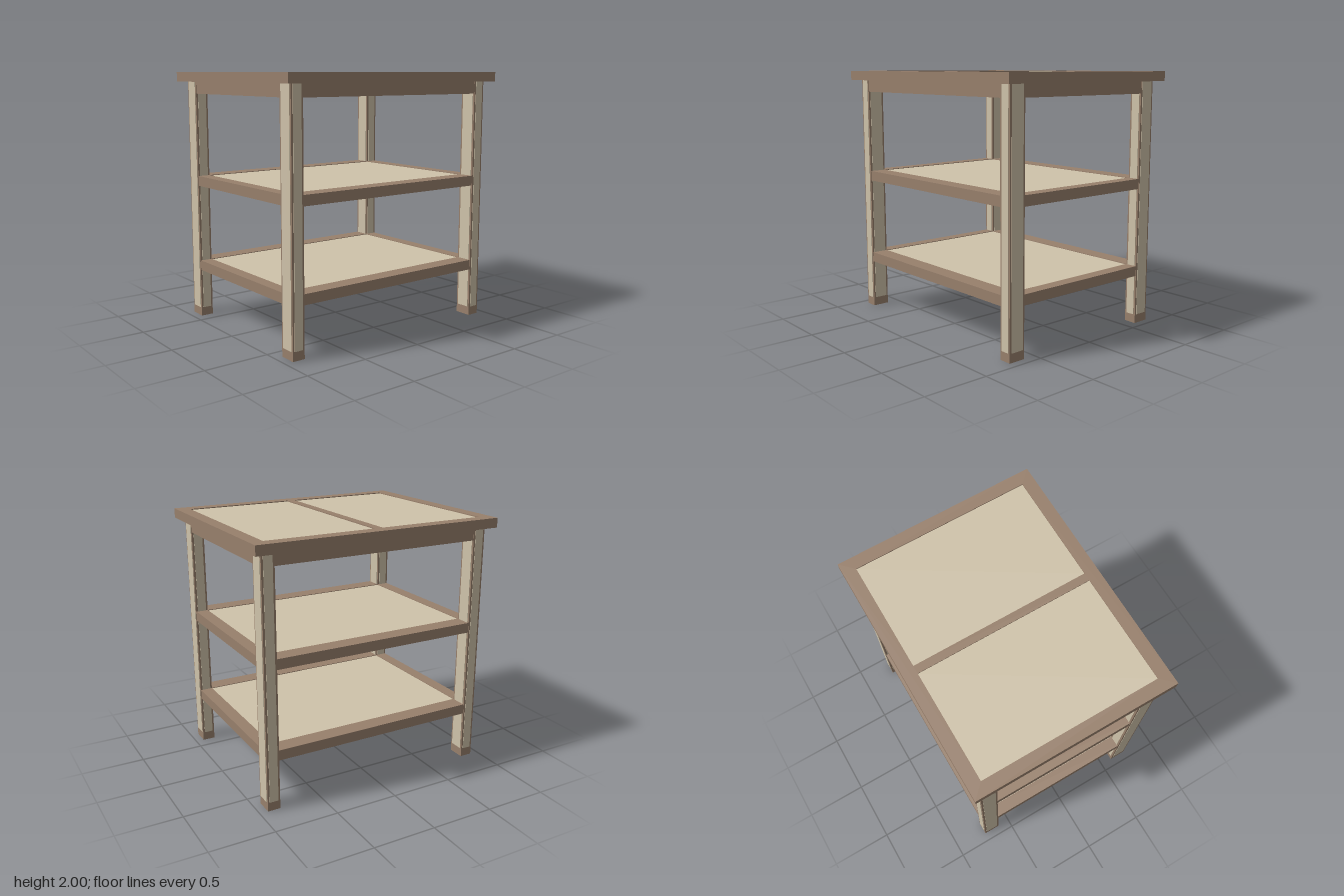
import * as THREE from 'three';

const brown = new THREE.MeshStandardMaterial({ color: 0x98806c });
const cream = new THREE.MeshStandardMaterial({ color: 0xcfc3aa });

// Box spanning two opposite corners
function box(name, material, [x0, y0, z0], [x1, y1, z1]) {
  const mesh = new THREE.Mesh(new THREE.BoxGeometry(x1 - x0, y1 - y0, z1 - z0), material);
  mesh.position.set((x0 + x1) / 2, (y0 + y1) / 2, (z0 + z1) / 2);
  mesh.name = name;
  return mesh;
}

function rect(Type, x0, x1, z0, z1) {
  return new Type([[x0, z0], [x1, z0], [x1, z1], [x0, z1]].map(p => new THREE.Vector2(...p)));
}

// Flat frame from y0 to y1 with rectangular openings [x0, x1, z0, z1]
function frame(name, x, z, y0, y1, openings) {
  const shape = rect(THREE.Shape, -x, x, -z, z);
  shape.holes = openings.map(o => rect(THREE.Path, ...o));
  const geometry = new THREE.ExtrudeGeometry(shape, { depth: y1 - y0, bevelEnabled: false });
  geometry.rotateX(-Math.PI / 2).translate(0, y0, 0);
  const mesh = new THREE.Mesh(geometry, brown);
  mesh.name = name;
  return mesh;
}

// Square post with a thin inlay on each of its four sides
function makeLeg(sx, sz) {
  const w = 0.1, d = 0.135, h = 1.925, foot = 0.07, edge = 0.015, proud = 0.003;
  const leg = new THREE.Group();
  leg.name = (sz > 0 ? 'front' : 'back') + (sx > 0 ? 'Left' : 'Right') + 'Leg';
  leg.add(box('post', brown, [-w / 2, 0, -d / 2], [w / 2, h, d / 2]));
  const a = w / 2 - edge, b = d / 2 - edge;
  leg.add(box('frontBackInlay', cream, [-a, foot, -d / 2 - proud], [a, h, d / 2 + proud]));
  leg.add(box('sideInlay', cream, [-w / 2 - proud, foot, -b], [w / 2 + proud, h, b]));
  leg.position.set(sx * 0.885, 0, sz * 0.6675);
  return leg;
}

function makeShelf(name, y0, y1) {
  const shelf = new THREE.Group();
  shelf.name = name;
  const x = 0.835, z = 0.6;
  shelf.add(frame('shelfRails', 0.932, 0.732, y0, y1, [[-x, x, -z, z]]));
  shelf.add(box('shelfPanel', cream, [-x, y0 + 0.025, -z], [x, y1 - 0.005, z]));
  return shelf;
}

export function createModel() {
  const model = new THREE.Group();
  model.name = 'shelvedTable';

  // Table top: frame with centre bar and two recessed panels
  const top = new THREE.Group();
  top.name = 'tableTop';
  const openings = [[-0.9, -0.032, -0.7, 0.7], [0.032, 0.9, -0.7, 0.7]];
  top.add(frame('topFrame', 1, 0.8, 1.925, 2, openings));
  for (const [x0, x1, z0, z1] of openings) {
    top.add(box('topPanel', cream, [x0, 1.95, z0], [x1, 1.993, z1]));
  }
  model.add(top);

  // Apron under the top
  model.add(frame('apron', 0.932, 0.732, 1.83, 1.925, [[-0.88, 0.88, -0.68, 0.68]]));

  model.add(makeShelf('upperShelf', 1.09, 1.17));
  model.add(makeShelf('lowerShelf', 0.39, 0.47));

  for (const sx of [-1, 1]) for (const sz of [-1, 1]) model.add(makeLeg(sx, sz));
  return model;
}
